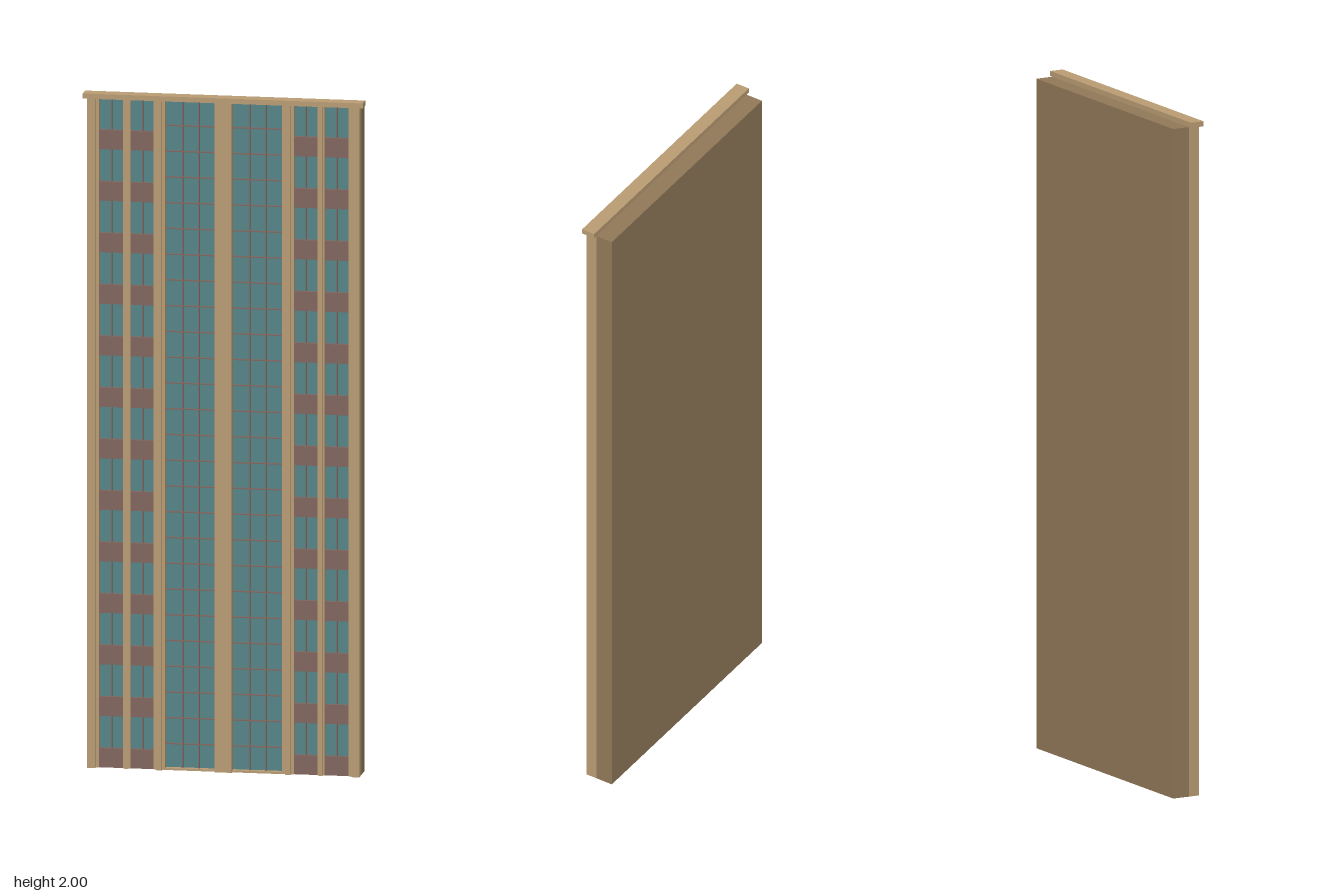
import * as THREE from 'three';

const material = (name, color) => {
  const m = new THREE.MeshStandardMaterial({ color });
  m.name = name;
  return m;
};

export function createModel() {
  const stone = material('light stone', 0xb89b73);
  const wall = material('dark stone', 0x907858);
  const panel = material('brown panel', 0x80655c);
  const glass = material('teal glass', 0x548286);

  const model = new THREE.Group();
  model.name = 'towerFacade';
  const TOP = 1.985, BACK = -0.05, FACE = 0.003, STOREY = 0.1527, FLOORS = 13;

  // Box given by its extents on each axis
  const block = (name, mat, x0, x1, y0, y1, z0, z1) => {
    const mesh = new THREE.Mesh(new THREE.BoxGeometry(x1 - x0, y1 - y0, z1 - z0), mat);
    mesh.position.set((x0 + x1) / 2, (y0 + y1) / 2, (z0 + z1) / 2);
    mesh.name = name;
    model.add(mesh);
  };
  // The same box on both sides of the centre line
  const pair = (name, mat, x0, x1, ...rest) => {
    block(name + 'Left', mat, x0, x1, ...rest);
    block(name + 'Right', mat, -x1, -x0, ...rest);
  };

  // Rear slab and the cornice along the front of the roof
  block('rearSlab', wall, -0.4, 0.4, 0, TOP, BACK, FACE);
  block('cornice', stone, -0.412, 0.412, TOP, 2, FACE, 0.045);

  // Full-height piers, each a raised face on a shallower, wider backing
  block('centralPier', stone, -0.025, 0.025, 0, TOP, FACE, 0.037);
  pair('cornerPier', stone, 0.376, 0.4, 0, TOP, FACE, 0.037);
  pair('cornerPierStep', stone, 0.367, 0.376, 0, TOP, FACE, 0.029);
  pair('innerPier', stone, 0.181, 0.197, 0, TOP, FACE, 0.037);
  pair('innerPierStep', stone, 0.172, 0.206, 0, TOP, FACE, 0.029);
  pair('slimPier', stone, 0.28, 0.291, 0, TOP, FACE, 0.033);
  pair('slimPierStep', stone, 0.275, 0.296, 0, TOP, FACE, 0.027);

  // Central curtain wall: three panes wide, two rows per storey
  const BAR = 0.0015;
  pair('curtainGlass', glass, 0.025, 0.172, 0.006, TOP, FACE, 0.012);
  pair('curtainSill', stone, 0.025, 0.172, 0, 0.006, FACE, 0.029);
  for (let i = 1; i < 3; i++) {
    const x = 0.025 + i * 0.049;
    pair('curtainMullion', panel, x - BAR, x + BAR, 0.006, TOP, 0.012, 0.02);
  }
  for (let i = 1; i < FLOORS * 2; i++) {
    const y = i * TOP / (FLOORS * 2);
    pair('curtainTransom', panel, 0.025, 0.172, y - BAR, y + BAR, 0.012, 0.019);
  }

  // Outer window bays with a panel below every window
  for (const [x0, x1] of [[0.206, 0.275], [0.296, 0.367]]) {
    pair('bayGlass', glass, x0, x1, 0, TOP, FACE, 0.012);
    const mid = (x0 + x1) / 2;
    pair('bayMullion', panel, mid - BAR, mid + BAR, 0, TOP, 0.012, 0.02);
    for (let i = 0; i < FLOORS; i++) {
      const y = 0.029 + i * STOREY;
      pair('spandrel', panel, x0, x1, Math.max(0, y - 0.029), y + 0.028, 0.012, 0.024);
    }
  }
  return model;
}
